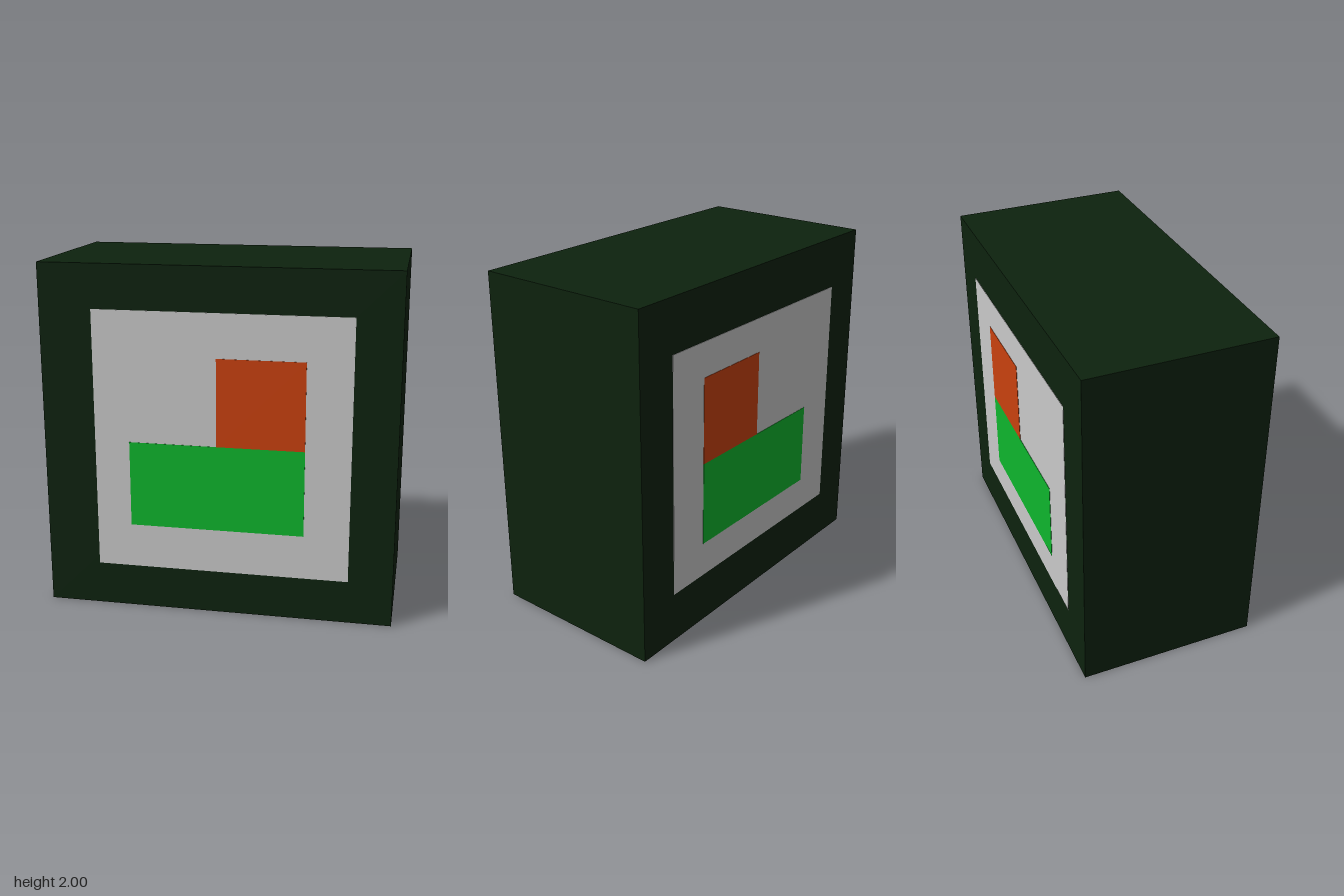
import * as THREE from 'three';

const flat = (name, color) => {
  const m = new THREE.MeshStandardMaterial({ color });
  m.name = name;
  return m;
};

export function createModel() {
  const darkGreen = flat('dark green', 0x0d220e);
  const lightGrey = flat('light grey', 0xcacaca);
  const orange = flat('orange', 0xca410e);
  const green = flat('green', 0x0eb62d);

  const group = new THREE.Group();
  const bodyZ = 0.521;

  // Box between opposite corners
  const box = (name, material, x0, x1, y0, y1, z0, z1) => {
    const mesh = new THREE.Mesh(new THREE.BoxGeometry(x1 - x0, y1 - y0, z1 - z0), material);
    mesh.position.set((x0 + x1) / 2, (y0 + y1) / 2, (z0 + z1) / 2);
    mesh.name = name;
    group.add(mesh);
  };

  // Thin plate lying on the front (side = 1) or back (side = -1)
  const plate = (name, material, side, x0, x1, y0, y1, height) => {
    const a = side * (bodyZ - 0.002), b = side * (bodyZ + height);
    box(name, material, x0, x1, y0, y1, Math.min(a, b), Math.max(a, b));
  };

  // Solid casing
  box('casing', darkGreen, -1, 1, 0, 2, -bodyZ, bodyZ);

  // Pale panels; the front one is taller and slightly off centre
  plate('frontPanel', lightGrey, 1, -0.7, 0.75, 0.25, 1.75, 0.002);
  plate('backPanel', lightGrey, -1, -0.75, 0.75, 0.3, 1.7, 0.002);

  // Coloured blocks on both panels
  for (const [side, label] of [[1, 'front'], [-1, 'back']]) {
    plate(label + 'GreenBlock', green, side, -0.5, 0.495, 0.505, 1, 0.004);
    plate(label + 'OrangeBlock', orange, side, 0, 0.495, 1, 1.5, 0.004);
  }

  return group;
}
